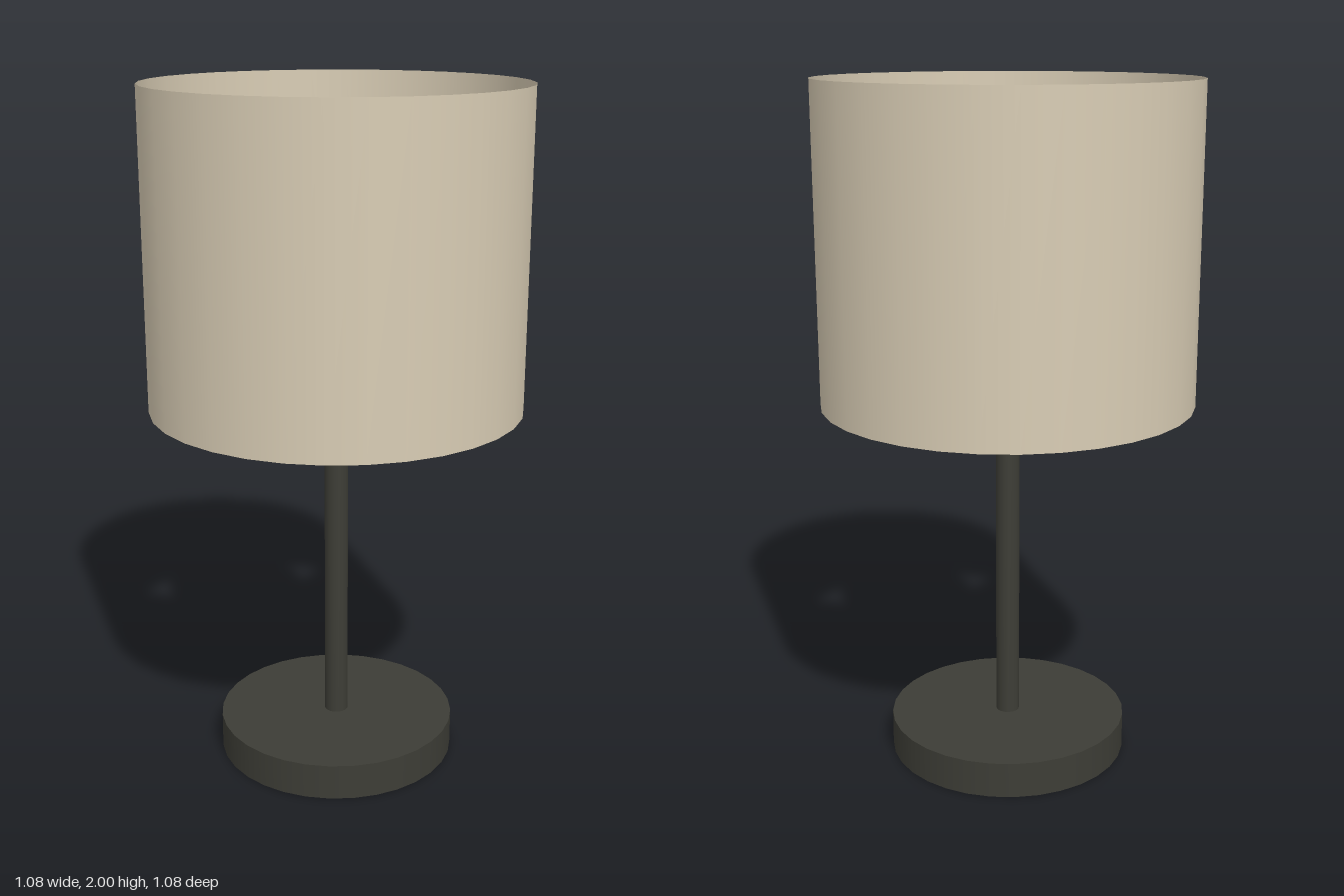
import * as THREE from 'three';

const material = (name, color, side = THREE.FrontSide) => {
  const m = new THREE.MeshStandardMaterial({ color, side });
  m.name = name;
  return m;
};

// Points of a regular polygon, used for the rim outline and its opening
const circle = (radius, sides) => Array.from({ length: sides }, (_, i) => {
  const a = (i / sides) * Math.PI * 2;
  return new THREE.Vector2(Math.cos(a) * radius, Math.sin(a) * radius);
});

export function createModel() {
  const lamp = new THREE.Group();
  lamp.name = 'tableLamp';
  const metal = material('dark metal', 0x3d3d36);
  const fabric = material('beige fabric', 0xd8ccb4, THREE.DoubleSide);
  const glass = material('warm glass', 0xdcc18a);

  const add = (name, geometry, mat, y) => {
    const mesh = new THREE.Mesh(geometry, mat);
    mesh.name = name;
    mesh.position.y = y;
    lamp.add(mesh);
    return mesh;
  };

  // Round foot and slender stem reaching up to the bulb
  add('base', new THREE.CylinderGeometry(0.354, 0.354, 0.106, 32), metal, 0.053);
  add('stem', new THREE.CylinderGeometry(0.035, 0.035, 1.13, 16), metal, 0.106 + 1.13 / 2);

  // Globe bulb inside the shade
  add('bulb', new THREE.SphereGeometry(0.257, 32, 24), glass, 1.46);

  // Open drum shade, with a flat rim around its lower edge
  add('shade', new THREE.CylinderGeometry(0.541, 0.541, 0.913, 32, 1, true), fabric, 2 - 0.913 / 2);
  const rim = new THREE.Shape(circle(0.541, 32));
  rim.holes.push(new THREE.Path(circle(0.509, 25)));
  add('shadeRim', new THREE.ShapeGeometry(rim).rotateX(-Math.PI / 2), fabric, 1.087);

  return lamp;
}
